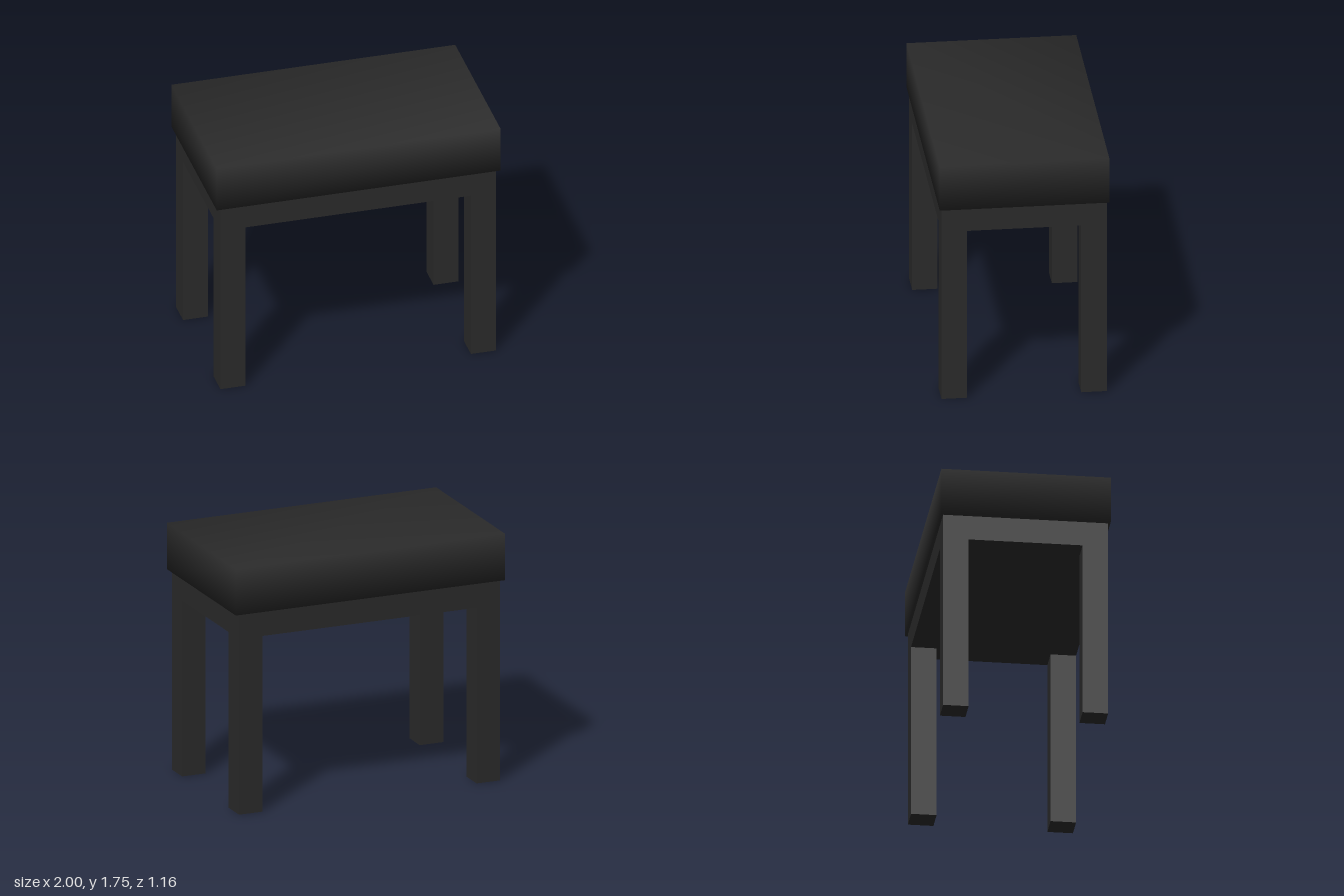
import * as THREE from 'three';
import { mergeVertices } from 'three/addons/utils/BufferGeometryUtils.js';

const LEG = 0.175;          // square leg thickness
const HALF_X = 0.97;        // frame half width
const HALF_Z = 0.565;       // frame half depth
const FRAME_BOTTOM = 1.25;
const SEAT_BOTTOM = 1.425;
const SEAT_TOP = 1.755;

export function createModel() {
  const model = new THREE.Group();
  model.name = 'stool';
  const material = new THREE.MeshStandardMaterial({ color: 0x2a2a2a });

  const add = (name, geometry, x, y, z) => {
    const mesh = new THREE.Mesh(geometry, material);
    mesh.name = name;
    mesh.position.set(x, y, z);
    model.add(mesh);
  };

  // Cushion: corners share their normals, giving soft shading on a plain block
  let cushion = new THREE.BoxGeometry(2, SEAT_TOP - SEAT_BOTTOM, 1.16);
  cushion.deleteAttribute('normal');
  cushion.deleteAttribute('uv');
  cushion = mergeVertices(cushion);
  cushion.computeVertexNormals();
  add('seatCushion', cushion, 0, (SEAT_TOP + SEAT_BOTTOM) / 2, 0);

  // Solid frame under the cushion, flush with the outside of the legs
  add('seatFrame',
    new THREE.BoxGeometry(HALF_X * 2, SEAT_BOTTOM - FRAME_BOTTOM, HALF_Z * 2),
    0, (SEAT_BOTTOM + FRAME_BOTTOM) / 2, 0);

  // Four square legs
  const leg = new THREE.BoxGeometry(LEG, FRAME_BOTTOM, LEG);
  for (const [sideX, nameX] of [[1, 'Left'], [-1, 'Right']]) {
    for (const [sideZ, nameZ] of [[1, 'front'], [-1, 'back']]) {
      add(`${nameZ}${nameX}Leg`, leg,
        sideX * (HALF_X - LEG / 2), FRAME_BOTTOM / 2, sideZ * (HALF_Z - LEG / 2));
    }
  }
  return model;
}
